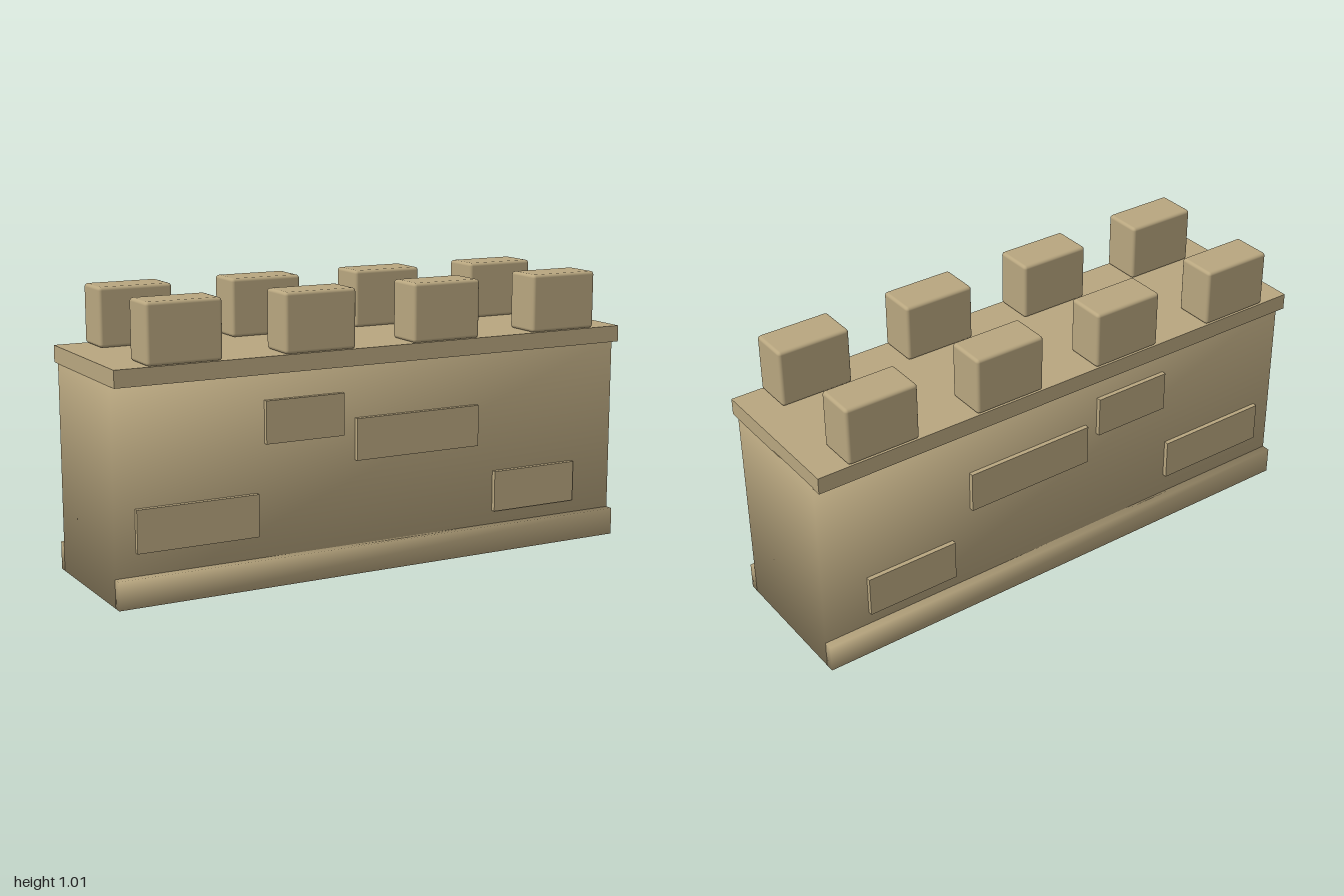
import * as THREE from 'three';
import { RoundedBoxGeometry } from 'three/addons/geometries/RoundedBoxGeometry.js';

const stone = new THREE.MeshStandardMaterial({ color: 0xb8a67f });
stone.name = 'sandstone';

// Box given by its limits; soft boxes have normals averaged at each corner
function block(name, [x0, x1], [y0, y1], [z0, z1], soft = false) {
  const geometry = new THREE.BoxGeometry(x1 - x0, y1 - y0, z1 - z0);
  if (soft) {
    const { position, normal } = geometry.attributes;
    for (let i = 0; i < position.count; i++) {
      normal.setXYZ(i, Math.sign(position.getX(i)), Math.sign(position.getY(i)), Math.sign(position.getZ(i)));
    }
    geometry.normalizeNormals();
  }
  const mesh = new THREE.Mesh(geometry, stone);
  mesh.name = name;
  mesh.position.set((x0 + x1) / 2, (y0 + y1) / 2, (z0 + z1) / 2);
  return mesh;
}

export function createModel() {
  const model = new THREE.Group();
  model.name = 'castleWall';

  // Wall core and walkway slab
  model.add(block('wallBody', [-1, 1], [0, 0.75], [-0.248, 0.248], true));
  model.add(block('walkway', [-1, 1], [0.745, 0.805], [-0.286, 0.286]));

  // Raised stones: x range, y range
  const stones = [
    [[-0.925, -0.48], [0.18, 0.33]],
    [[-0.45, -0.15], [0.5, 0.65]],
    [[-0.1, 0.4], [0.405, 0.555]],
    [[0.475, 0.825], [0.15, 0.3]],
  ];
  const merlonGeometry = new RoundedBoxGeometry(0.27, 0.21, 0.148, 2, 0.012);

  for (const [side, label] of [[1, 'Front'], [-1, 'Back']]) {
    const span = (a, b) => [a * side, b * side].sort((p, q) => p - q);

    // Plinth along the foot of the wall
    model.add(block('plinth' + label, [-1, 1], [0, 0.1], span(0.247, 0.279), true));

    for (const [xs, ys] of stones) {
      model.add(block('raisedStone' + label, xs, ys, span(0.24, 0.265)));
    }

    // Battlements
    for (let i = 0; i < 4; i++) {
      const merlon = new THREE.Mesh(merlonGeometry, stone);
      merlon.name = 'merlon' + label + (i + 1);
      merlon.position.set(-0.75 + i * 0.5, 0.91, side * 0.211);
      model.add(merlon);
    }
  }
  return model;
}
